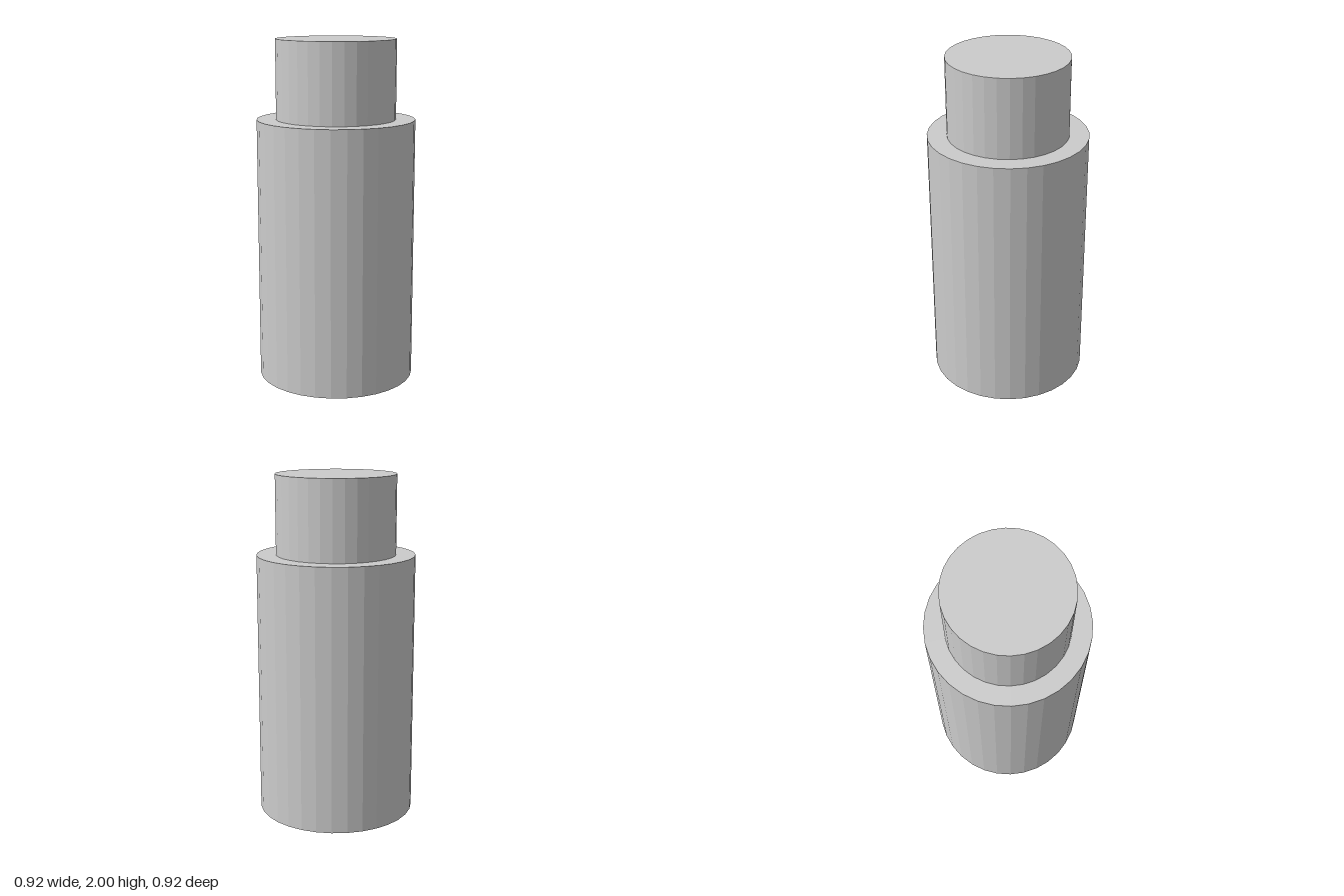
import * as THREE from 'three';

const SIDES = 32;

export function createModel() {
  const model = new THREE.Group();
  model.name = 'steppedCylinder';
  const material = new THREE.MeshStandardMaterial({ color: 0xcccccc, flatShading: true });

  // Upright faceted cylinder standing between two heights
  const addCylinder = (name, radius, bottom, top) => {
    const geometry = new THREE.CylinderGeometry(radius, radius, top - bottom, SIDES);
    const mesh = new THREE.Mesh(geometry, material);
    mesh.name = name;
    mesh.position.y = (bottom + top) / 2;
    model.add(mesh);
  };

  addCylinder('body', 0.46, 0, 1.54);
  addCylinder('neck', 0.348, 1.54, 2);

  return model;
}
